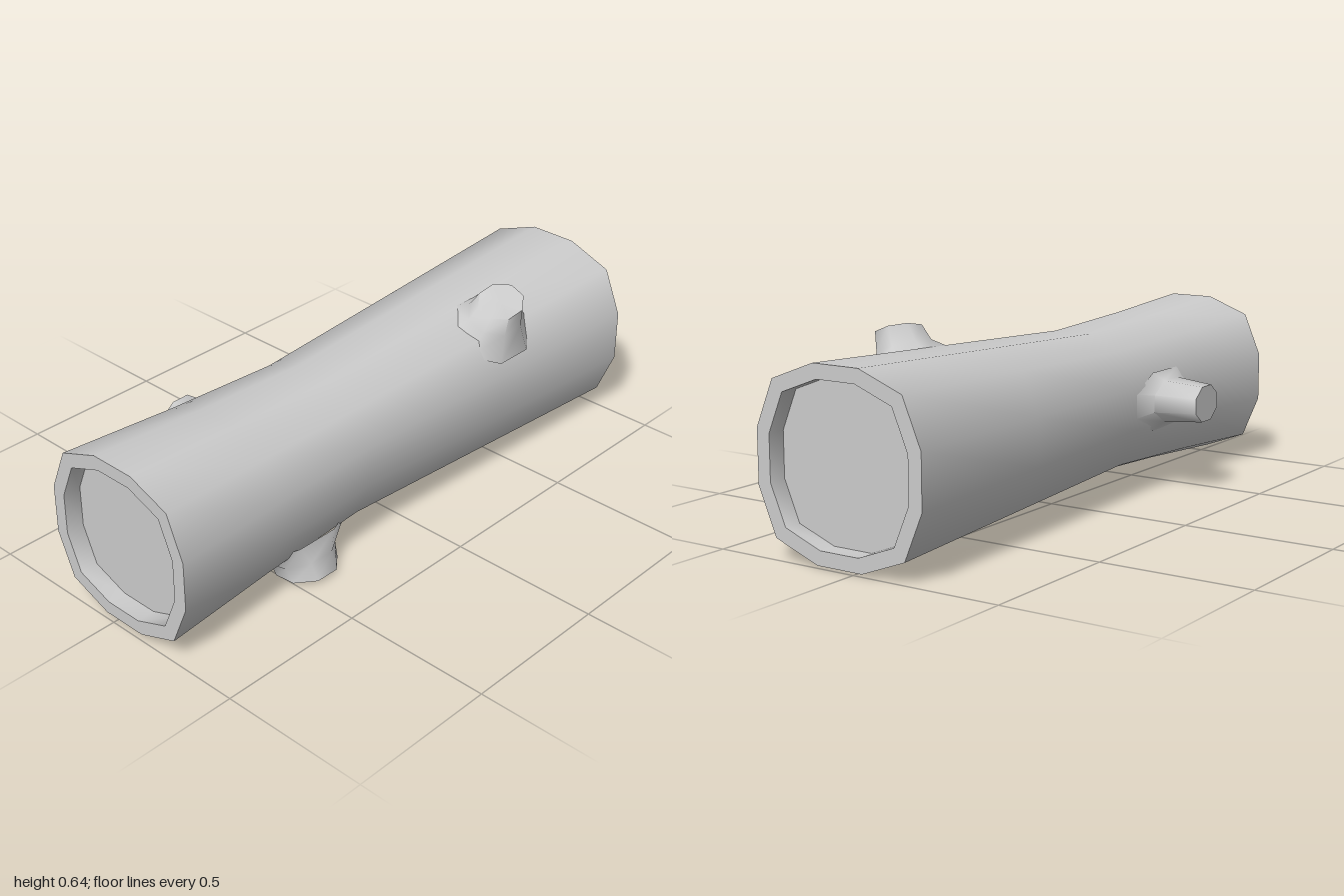
import * as THREE from 'three';
import { toCreasedNormals } from 'three/addons/utils/BufferGeometryUtils.js';

const V = (x, y, z) => new THREE.Vector3(x, y, z);

// Skin a list of closed rings (counter-clockwise about the travel direction), capped at the end and optionally the start
function loft(rings, crease, capStart) {
  const n = rings[0].length, pos = [], idx = [];
  rings.forEach(r => r.forEach(p => pos.push(p.x, p.y, p.z)));
  for (let i = 0; i < rings.length - 1; i++) {
    for (let j = 0; j < n; j++) {
      const k = (j + 1) % n, a = i * n + j, b = i * n + k;
      idx.push(a, b, b + n, a, b + n, a + n);
    }
  }
  const cap = (ring, flip) => {
    const base = ring * n, c = pos.length / 3;
    const mid = rings[ring].reduce((s, p) => s.add(p), V(0, 0, 0)).divideScalar(n);
    pos.push(mid.x, mid.y, mid.z);
    for (let j = 0; j < n; j++) {
      const a = base + j, b = base + (j + 1) % n;
      if (flip) idx.push(c, b, a); else idx.push(c, a, b);
    }
  };
  cap(rings.length - 1, false);
  if (capStart) cap(0, true);
  const g = new THREE.BufferGeometry();
  g.setAttribute('position', new THREE.Float32BufferAttribute(pos, 3));
  g.setIndex(idx);
  return toCreasedNormals(g, crease);
}

// Twelve-sided trunk section, scaled about the trunk axis
const quarter = [[0.298, 0.085], [0.235, 0.234], [0.082, 0.292]];
const flipped = [...quarter].reverse();
const section = [
  ...quarter, ...flipped.map(([x, y]) => [-x, y]),
  ...quarter.map(([x, y]) => [-x, -y]), ...flipped.map(([x, y]) => [x, -y]),
];
const trunkRing = (s, z) => section.map(([x, y]) => V(0.05 + x * s, 0.302 + y * s, z));

// Eight-sided ring: centre, facing direction, radius across, radius along the trunk
function knotRing([c, dir, across, along]) {
  const n = V(...dir).normalize();
  const v = V(0, 0, 1).addScaledVector(n, -n.z).normalize();
  const u = v.clone().cross(n);
  return Array.from({ length: 8 }, (_, i) => {
    const t = (i + 0.5) * Math.PI / 4;
    return V(...c).addScaledVector(u, across * 1.06 * Math.cos(t)).addScaledVector(v, along * 1.06 * Math.sin(t));
  });
}

export function createModel() {
  const group = new THREE.Group();
  const material = new THREE.MeshStandardMaterial({ color: 0xcccccc });
  const add = (name, geometry) => {
    const mesh = new THREE.Mesh(geometry, material);
    mesh.name = name;
    group.add(mesh);
  };

  // Trunk narrowing to a waist, with a recessed face at each end
  add('trunk', loft([
    trunkRing(0.845, -0.94), trunkRing(0.845, -1),
    trunkRing(1, -1), trunkRing(0.905, -0.4), trunkRing(0.81, 0.2), trunkRing(0.865, 0.6), trunkRing(0.946, 1),
    trunkRing(0.795, 1), trunkRing(0.795, 0.94),
  ], 1.0, true));

  // Branch stumps: buried flared root, neck, cut tip
  const stumps = {
    upperStump: [
      [[0.21, 0.495, -0.46], [0.5, 0.85, 0], 0.13, 0.16],
      [[0.235, 0.555, -0.46], [0.4, 0.9, 0.1], 0.082, 0.095],
      [[0.255, 0.609, -0.46], [0.38, 0.92, 0.2], 0.068, 0.08],
    ],
    sideStump: [
      [[-0.19, 0.31, 0.395], [-1, 0, 0], 0.1, 0.19],
      [[-0.215, 0.31, 0.395], [-1, 0, 0], 0.071, 0.108],
      [[-0.351, 0.31, 0.395], [-1, 0, 0.02], 0.06, 0.076],
    ],
    lowerStump: [
      [[0.18, 0.098, 0.41], [0.35, -0.94, 0], 0.1, 0.18],
      [[0.208, 0.052, 0.41], [0.22, -0.97, 0], 0.084, 0.11],
      [[0.225, 0.009, 0.41], [0.08, -1, 0], 0.09, 0.1],
    ],
  };
  for (const [name, rings] of Object.entries(stumps)) add(name, loft(rings.map(knotRing), 1.2, false));

  return group;
}
